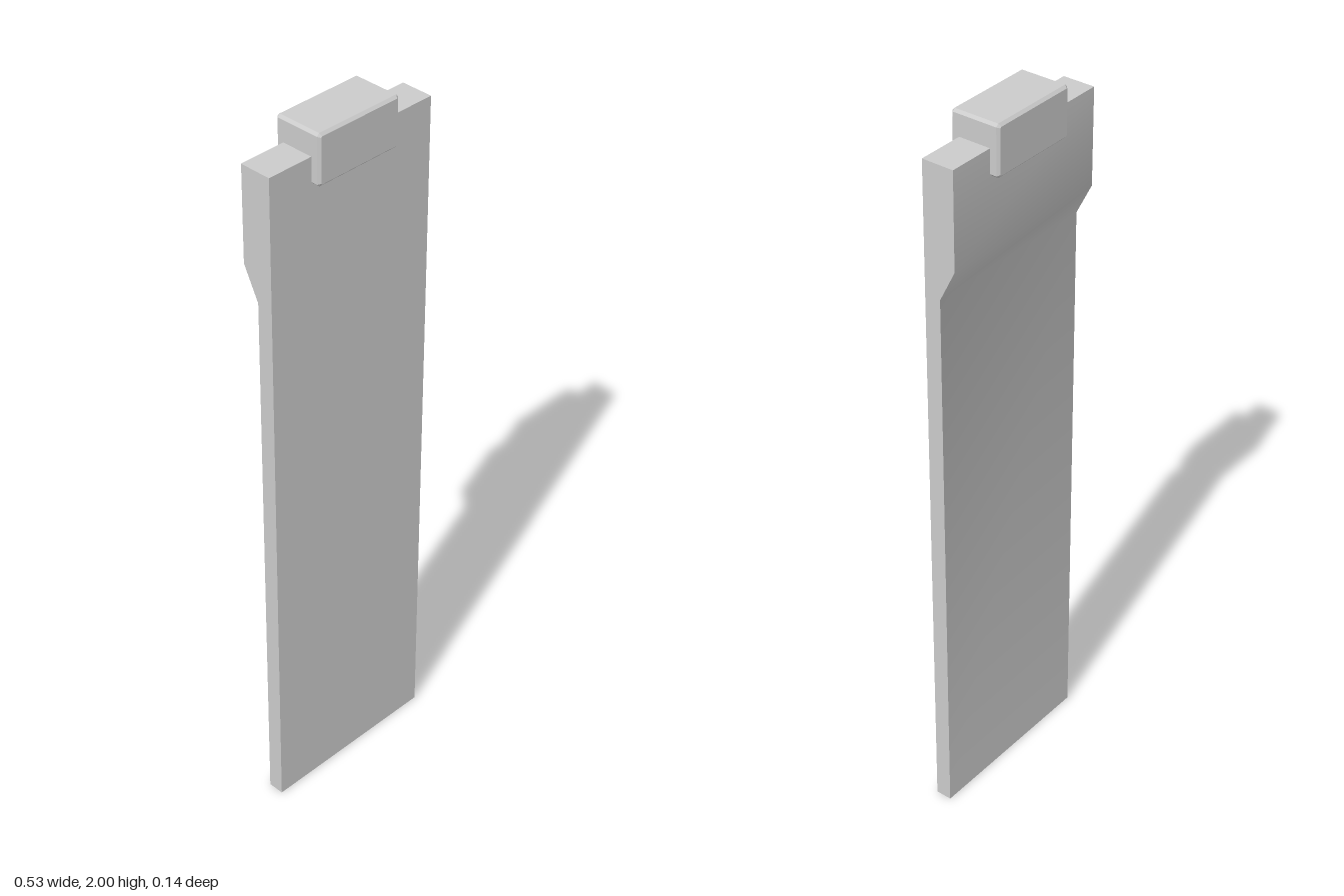
import * as THREE from 'three';
import { toCreasedNormals } from 'three/addons/utils/BufferGeometryUtils.js';

const material = new THREE.MeshStandardMaterial({ color: 0xcccccc });

const outline = (points) => new THREE.Shape(points.map(([x, y]) => new THREE.Vector2(x, y)));

// Flat panel, thickened toward the back at the top; side profile swept across x
function createPanel() {
  const width = 0.526;
  const profile = outline([
    [-0.045, 0], [0, 0], [0, 1.58], [0.045, 1.67], [0.045, 1.935], [-0.045, 1.935],
  ]);
  const geometry = new THREE.ExtrudeGeometry(profile, { depth: width, bevelEnabled: false });
  geometry.translate(0, 0, -width / 2).rotateY(Math.PI / 2);
  const mesh = new THREE.Mesh(toCreasedNormals(geometry, 0.6), material);
  mesh.name = 'panel';
  return mesh;
}

// Block with a small chamfer on every edge
function createChamferedBlock(width, height, depth, c) {
  const w = width / 2, h = height / 2;
  const shape = outline([
    [-w + c, -h], [w - c, -h], [w, -h + c], [w, h - c],
    [w - c, h], [-w + c, h], [-w, h - c], [-w, -h + c],
  ]);
  const geometry = new THREE.ExtrudeGeometry(shape, {
    depth: depth - 2 * c, bevelEnabled: true, bevelSegments: 1,
    bevelSize: c, bevelThickness: c, bevelOffset: -c,
  });
  geometry.translate(0, 0, -depth / 2 + c);
  return new THREE.Mesh(geometry, material);
}

export function createModel() {
  const group = new THREE.Group();
  group.add(createPanel());

  // Clip straddling the panel's top edge
  const clip = createChamferedBlock(0.262, 0.138, 0.14, 0.007);
  clip.name = 'topClip';
  clip.position.set(0, 1.931, 0);
  group.add(clip);
  return group;
}
